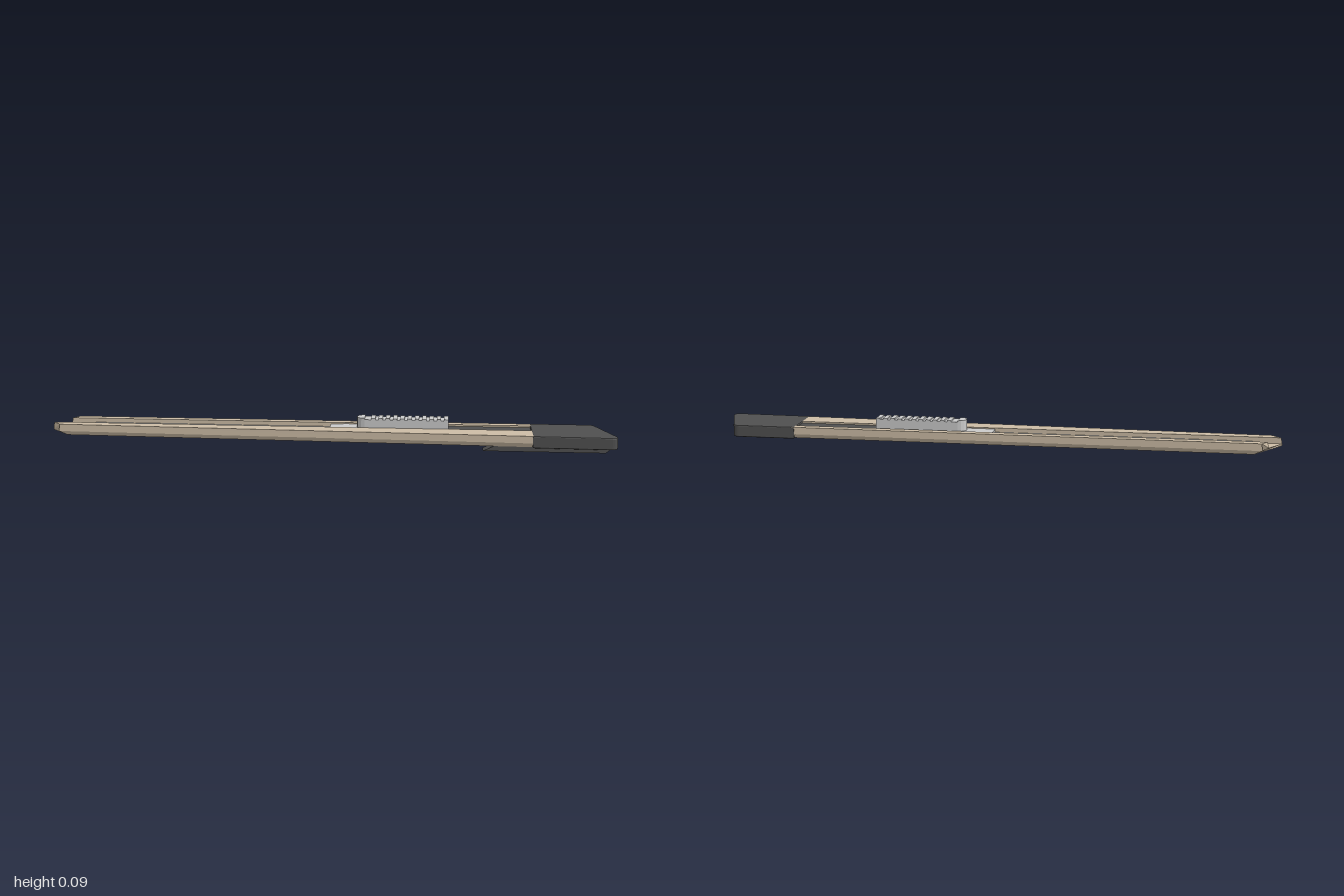
import * as THREE from 'three';

const flat = (name, color) => {
  const m = new THREE.MeshStandardMaterial({ color });
  m.name = name;
  return m;
};

const polygon = points => new THREE.Shape(points.map(p => new THREE.Vector2(...p)));

// Extrude a plan outline (x, z) downwards from yTop to yBottom
function plate(shape, yBottom, yTop, bevel = 0) {
  const g = new THREE.ExtrudeGeometry(shape, {
    depth: yTop - yBottom - 2 * bevel, bevelEnabled: bevel > 0, bevelSize: bevel,
    bevelThickness: bevel, bevelOffset: -bevel, bevelSegments: 2, curveSegments: 8,
  });
  g.rotateX(Math.PI / 2);
  g.translate(0, yTop - bevel, 0);
  return g;
}

// Tapered channel section as [z, y], f = position of the front wall
const section = f => [
  [-0.095, 0.018], [-0.035, 0.018], [-0.028, 0.030], [0, 0.030], [0.007, 0.018],
  [f - 0.008, 0.018], [f, 0.033], [f, 0.058], [0, 0.058], [0, 0.037],
  [-0.073, 0.037], [-0.073, 0.058], [-0.105, 0.058], [-0.105, 0.033],
];

function bodyGeometry() {
  // The open end is cut to a point; upper and lower edges are set back
  const tipX = ([z, y]) => -1 + (z < 0 ? -z * 0.66 : z * 0.8)
    + (y > 0.05 ? 0.004 : y < 0.025 ? 0.035 : 0);
  const s = section(0.037), e = section(0.09);
  const S = s.map(p => [tipX(p), p[1], p[0]]);
  const E = e.map(p => [0.72, p[1], p[0]]);
  const pos = [];
  const tri = (...v) => v.forEach(p => pos.push(...p));
  s.forEach((_, i) => {
    const j = (i + 1) % s.length;
    tri(S[i], E[i], S[j]);
    tri(S[j], E[i], E[j]);
  });
  const cap = THREE.ShapeUtils.triangulateShape(s.map(p => new THREE.Vector2(...p)), []);
  for (const [a, b, c] of cap) {
    tri(S[a], S[b], S[c]);
    tri(E[a], E[c], E[b]);
  }
  const g = new THREE.BufferGeometry();
  g.setAttribute('position', new THREE.Float32BufferAttribute(pos, 3));
  g.computeVertexNormals();
  return g;
}

export function createModel() {
  const group = new THREE.Group();
  const tan = flat('tan metal', 0xcdbda6);
  const dark = flat('dark plastic', 0x505050);
  const steel = flat('blade steel', 0xc6c8c9);
  const grey = flat('light grey plastic', 0xcbcbcb);
  const add = (name, geometry, material) => {
    const m = new THREE.Mesh(geometry, material);
    m.name = name;
    group.add(m);
    return m;
  };

  add('channelBody', bodyGeometry(), tan);

  // Blade lying in the slot, with a slanted tip
  const blade = polygon([[-0.9, 0], [-0.86, -0.073], [0.2, -0.073], [0.2, 0]]);
  add('blade', plate(blade, 0.036, 0.043), steel);

  // Dark tongue behind the slider
  const tongue = polygon([[0.4, -0.073], [0.73, -0.073], [0.73, 0], [0.4, 0]]);
  add('slotTongue', plate(tongue, 0.036, 0.052), dark);

  // End cap with rounded corners
  const cap = new THREE.Shape();
  cap.moveTo(0.71, -0.106);
  cap.lineTo(0.915, -0.106);
  cap.quadraticCurveTo(0.935, -0.106, 0.94, -0.088);
  cap.lineTo(0.997, 0.068);
  cap.quadraticCurveTo(1.008, 0.1, 0.972, 0.099);
  cap.lineTo(0.71, 0.092);
  cap.closePath();
  add('endCap', plate(cap, 0.016, 0.059, 0.004), dark);

  // Clip under the cap, slanted at both ends
  const clip = polygon([[0.54, 0], [0.96, 0], [0.985, 0.019], [0.58, 0.019]]);
  const clipGeo = new THREE.ExtrudeGeometry(clip, { depth: 0.047, bevelEnabled: false });
  clipGeo.translate(0, 0, 0.03);
  add('underClip', clipGeo, dark);

  // Slider base in the slot
  const base = polygon([[0, 0], [0, -0.06], [0.05, -0.073], [0.42, -0.073], [0.42, 0]]);
  add('sliderBase', plate(base, 0.037, 0.054), grey);

  // Thumb grip with a rounded front end
  const grip = new THREE.Shape();
  grip.moveTo(0.42, -0.058);
  grip.lineTo(0.125, -0.058);
  grip.bezierCurveTo(0.087, -0.058, 0.087, 0.003, 0.125, 0.003);
  grip.lineTo(0.42, 0.003);
  grip.closePath();
  add('thumbGrip', plate(grip, 0.05, 0.087), grey);

  // Raised pad and ribs on the grip
  const pad = new THREE.Shape();
  pad.moveTo(0.125, -0.058);
  pad.bezierCurveTo(0.087, -0.058, 0.087, 0.003, 0.125, 0.003);
  pad.closePath();
  add('gripPad', plate(pad, 0.085, 0.092), grey);
  for (let i = 0; i < 11; i++) {
    const rib = add('gripRib', new THREE.BoxGeometry(0.015, 0.007, 0.061), grey);
    rib.position.set(0.155 + i * 0.0257, 0.0885, -0.0275);
  }
  return group;
}
